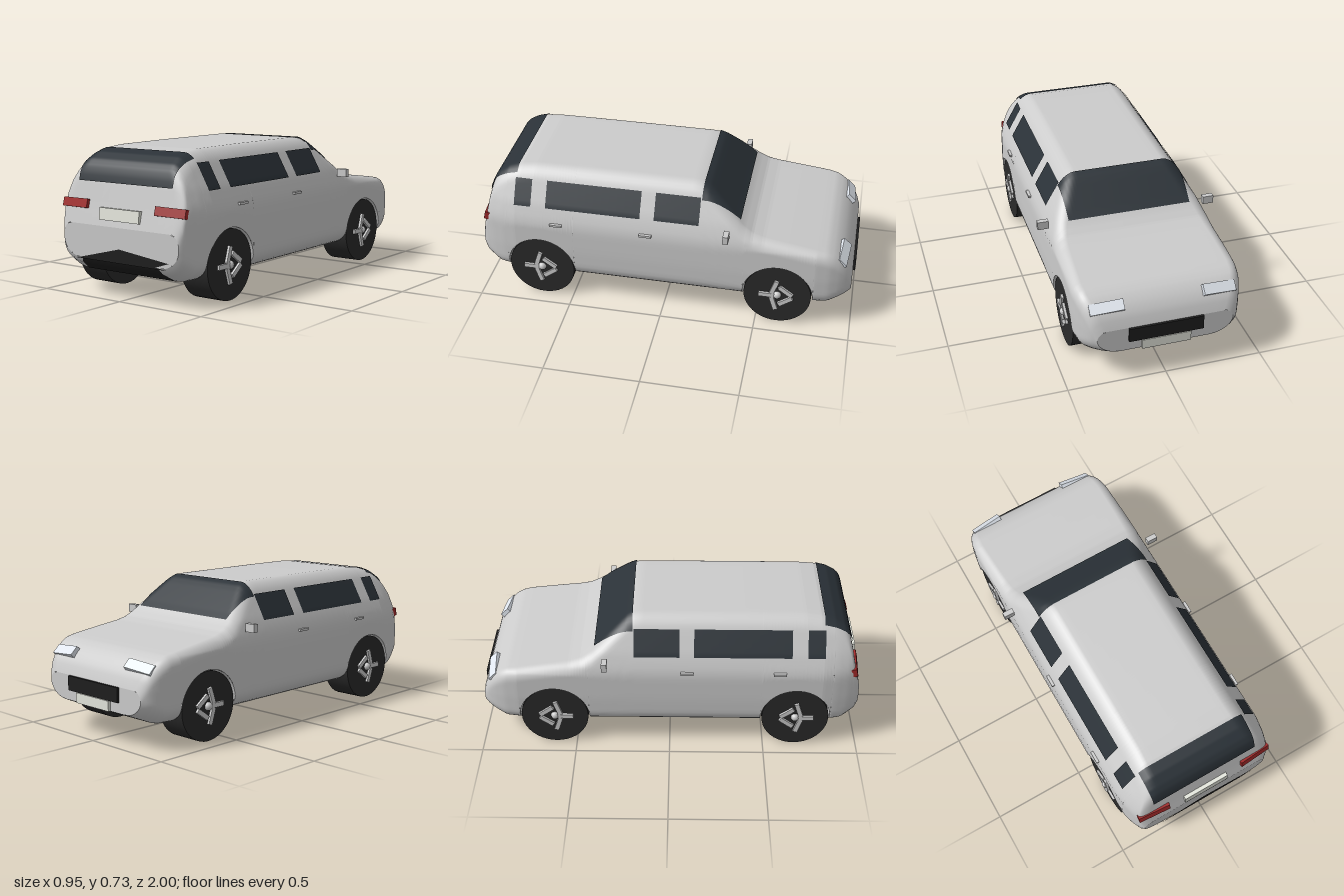
import * as THREE from 'three';

const mat = (color, side = THREE.FrontSide) =>
  new THREE.MeshStandardMaterial({ color, side });
const PAINT = mat(0xcccccc, THREE.DoubleSide), GLASS = mat(0x2b3238, THREE.DoubleSide);
const DARK = mat(0x1e1e1e, THREE.DoubleSide), TYRE = mat(0x2a2a2a), METAL = mat(0xcccccc);
const RED = mat(0xa02828), LAMP = mat(0xe0e6ee), PLATE = mat(0xe4e6dc);

const FRONT = -0.985, REAR = 0.995;
const AXLES = [-0.61, 0.665], AXLE_Y = 0.178, ARCH_R = 0.184;

// Piecewise linear curve through [position, value] pairs
const curve = (pts) => (p) => {
  if (p <= pts[0][0]) return pts[0][1];
  for (let i = 1; i < pts.length; i++) {
    const [a, va] = pts[i - 1], [b, vb] = pts[i];
    if (p <= b) return va + (vb - va) * (p - a) / (b - a);
  }
  return pts[pts.length - 1][1];
};
const roofLine = curve([
  [-0.985, 0.30], [-0.975, 0.335], [-0.96, 0.365], [-0.93, 0.405], [-0.89, 0.438], [-0.85, 0.457],
  [-0.8, 0.466], [-0.65, 0.487], [-0.52, 0.504], [-0.46, 0.52], [-0.41, 0.55], [-0.36, 0.592],
  [-0.25, 0.69], [-0.22, 0.715], [-0.19, 0.73], [-0.15, 0.735], [0.4, 0.735], [0.7, 0.732],
  [0.78, 0.724], [0.85, 0.702], [0.9, 0.67], [0.925, 0.64], [0.94, 0.6], [0.955, 0.53],
  [0.97, 0.455], [0.985, 0.405], [0.995, 0.36]]);
const floorLine = curve([[-0.985, 0.17], [-0.87, 0.12], [0.91, 0.12], [0.98, 0.165], [0.995, 0.19]]);
const planWidth = curve([
  [-0.985, 0.35], [-0.96, 0.375], [-0.92, 0.397], [-0.87, 0.415], [-0.8, 0.426], [0.8, 0.428],
  [0.87, 0.418], [0.93, 0.402], [0.98, 0.382], [0.995, 0.368]]);
const tumblehome = curve([
  [0.12, 0.985], [0.3, 1], [0.45, 0.995], [0.49, 0.97], [0.56, 0.9], [0.675, 0.745], [0.735, 0.665]]);

// Half width of the body at a height, with rounded upper and lower edges
const quarter = (d, r) => (d >= r ? 0 : 1 - Math.sqrt(Math.max(0, 1 - ((r - d) / r) ** 2)));
function halfWidth(y, z) {
  return planWidth(z) * tumblehome(y)
    - 0.05 * quarter(roofLine(z) - y, 0.06) - 0.12 * quarter(y - floorLine(z), 0.09);
}
// Lower edge of the body side, raised over the wheels
function lowerEdge(z) {
  for (const c of AXLES) {
    const d = Math.abs(z - c);
    if (d < ARCH_R) return AXLE_Y + Math.sqrt(ARCH_R ** 2 - d ** 2);
  }
  return floorLine(z);
}
// Height of the upper surface above a given x
function topHeight(x, z) {
  let hi = roofLine(z), lo = hi - 0.25;
  if (Math.abs(x) <= halfWidth(hi, z)) return hi;
  for (let i = 0; i < 30; i++) {
    const m = (lo + hi) / 2;
    if (halfWidth(m, z) > Math.abs(x)) lo = m; else hi = m;
  }
  return lo;
}

// Grid surface; its front faces dP/du x dP/dv. "push" moves it along its normals.
function surface(fn, us, vs, push = 0) {
  const pos = [], idx = [], n = vs.length;
  us.forEach((u) => vs.forEach((v) => pos.push(...fn(u, v))));
  for (let i = 0; i < us.length - 1; i++) {
    for (let j = 0; j < n - 1; j++) {
      const a = i * n + j, b = a + n;
      idx.push(a, b, b + 1, a, b + 1, a + 1);
    }
  }
  const g = new THREE.BufferGeometry();
  g.setAttribute('position', new THREE.Float32BufferAttribute(pos, 3));
  g.setIndex(idx);
  g.computeVertexNormals();
  const p = g.attributes.position, m = g.attributes.normal;
  for (let i = 0; i < p.count && push; i++) {
    p.setXYZ(i, p.getX(i) + push * m.getX(i), p.getY(i) + push * m.getY(i), p.getZ(i) + push * m.getZ(i));
  }
  return g;
}
const range = (a, b, n) => Array.from({ length: n + 1 }, (_, i) => a + (b - a) * i / n);

export function createModel() {
  const car = new THREE.Group();
  car.name = 'car';
  const add = (name, geo, material, parent = car) => {
    const m = new THREE.Mesh(geo, material);
    m.name = name;
    parent.add(m);
    return m;
  };
  const box = (name, size, at, material, rot = [0, 0, 0], parent = car) => {
    const m = add(name, new THREE.BoxGeometry(...size), material, parent);
    m.position.set(...at);
    m.rotation.set(...rot);
    return m;
  };

  // Body shell: up the left side, across the top, down the right side
  const zs = range(FRONT, REAR, 130);
  for (const c of AXLES) {
    for (const t of range(0, Math.PI, 28)) zs.push(c + (ARCH_R - 0.0004) * Math.cos(t));
    zs.push(c - ARCH_R - 0.0004, c + ARCH_R + 0.0004);
  }
  zs.sort((a, b) => a - b);
  const around = range(-1.25, 1.25, 70);
  add('body', surface((s, z) => {
    const lo = lowerEdge(z), hi = roofLine(z), side = -Math.sign(s);
    const k = Math.min(1, (1.25 - Math.abs(s)) / 1);
    const y = lo + (hi - lo) * (1 - Math.cos(Math.PI * k)) / 2;
    const across = Math.min(1, Math.abs(s) / 0.25);
    return [side * across * halfWidth(y, z), y, z];
  }, around, zs), PAINT);

  // Flat nose and tail
  const acrossX = range(-1, 1, 2);
  const nose = range(floorLine(FRONT), roofLine(FRONT), 24);
  const tail = range(floorLine(REAR), roofLine(REAR), 24);
  add('nosePanel', surface((y, s) => [s * halfWidth(y, FRONT), y, FRONT], nose, acrossX), PAINT);
  add('tailPanel', surface((s, y) => [s * halfWidth(y, REAR), y, REAR], acrossX, tail), PAINT);

  // Underbody in three pieces between the wheel wells
  const [f, r] = AXLES;
  for (const [a, b] of [[FRONT, f - ARCH_R], [f + ARCH_R, r - ARCH_R], [r + ARCH_R, REAR]]) {
    add('underbody', surface((s, z) => {
      const y = floorLine(z);
      return [s * halfWidth(y, z), y, z];
    }, acrossX, range(a, b, 16)), DARK);
  }
  // Wheel wells running across the car
  for (const c of AXLES) {
    add('wheelWell', surface((s, t) => {
      const a = Math.min(Math.PI, Math.max(0, t));
      const z = c - ARCH_R * Math.cos(a);
      const y = a === t ? AXLE_Y + ARCH_R * Math.sin(a) : floorLine(z);
      return [s * halfWidth(y, z), y, z];
    }, acrossX, [-1, ...range(0, Math.PI, 28), 4]), PAINT);
  }

  // Windscreen and rear window
  const pane = (name, z0, z1, w) => add(name,
    surface((z, x) => [x, topHeight(x, z), z], range(z0, z1, 24), range(-w, w, 40), 0.005), GLASS);
  pane('windscreen', -0.39, -0.19, 0.325);
  pane('rearWindow', 0.795, 0.947, 0.3);

  for (const side of [-1, 1]) {
    // Side windows
    for (const [z0, z1] of [[-0.185, 0.05], [0.125, 0.63], [0.71, 0.8]]) {
      const ys = range(0.548, 0.675, 10), zz = range(z0, z1, 12);
      const at = (y, z) => [side * halfWidth(y, z), y, z];
      add('sideWindow', side > 0 ? surface(at, ys, zz, 0.005)
        : surface((z, y) => at(y, z), zz, ys, 0.005), GLASS);
    }
    // Mirrors, handles and lamps
    box('mirror', [0.058, 0.043, 0.028], [side * 0.447, 0.536, -0.335], METAL);
    for (const z of [0.09, 0.57]) box('doorHandle', [0.016, 0.012, 0.066], [side * 0.426, 0.469, z], METAL);
    box('headlamp', [0.17, 0.055, 0.025], [side * 0.285, 0.402, -0.93], LAMP, [0.8, -side * 0.12, 0]);
    box('tailLamp', [0.175, 0.045, 0.04], [side * 0.303, 0.455, 0.96], RED, [-0.25, side * 0.08, 0]);

    // Wheels with hub and five short bars
    for (const z of AXLES) {
      const wheel = new THREE.Group();
      wheel.name = 'wheel';
      wheel.position.set(side * 0.335, AXLE_Y, z);
      wheel.rotation.y = side * Math.PI / 2;
      car.add(wheel);
      const tyre = new THREE.CylinderGeometry(0.177, 0.177, 0.16, 40).rotateX(Math.PI / 2);
      add('tyre', tyre, TYRE, wheel);
      add('hub', new THREE.SphereGeometry(0.022, 16, 12), METAL, wheel).position.z = 0.08;
      for (let i = 0; i < 5; i++) {
        const a = i * Math.PI * 0.4;
        box('spoke', [0.085, 0.024, 0.02],
          [-side * 0.055 * Math.cos(a), 0.055 * Math.sin(a), 0.083].map((v, k) => (k ? v : -side * v * -side)),
          METAL, [0, 0, side * a], wheel);
      }
    }
  }

  // Grille, number plates and rear skirt
  box('grille', [0.38, 0.075, 0.025], [0, 0.262, -0.985], DARK);
  box('frontPlate', [0.25, 0.052, 0.02], [0, 0.197, -0.99], PLATE);
  box('rearPlate', [0.255, 0.06, 0.02], [0, 0.42, 0.986], PLATE, [-0.1, 0, 0]);
  const skirt = new THREE.Shape([[-0.3, 0.188], [0.3, 0.188], [0.23, 0.196], [0.31, 0.222], [0, 0.257], [-0.27, 0.19]]
    .map(([x, y]) => new THREE.Vector2(x, y)));
  add('rearSkirt', new THREE.ShapeGeometry(skirt), DARK).position.z = 0.999;
  return car;
}
